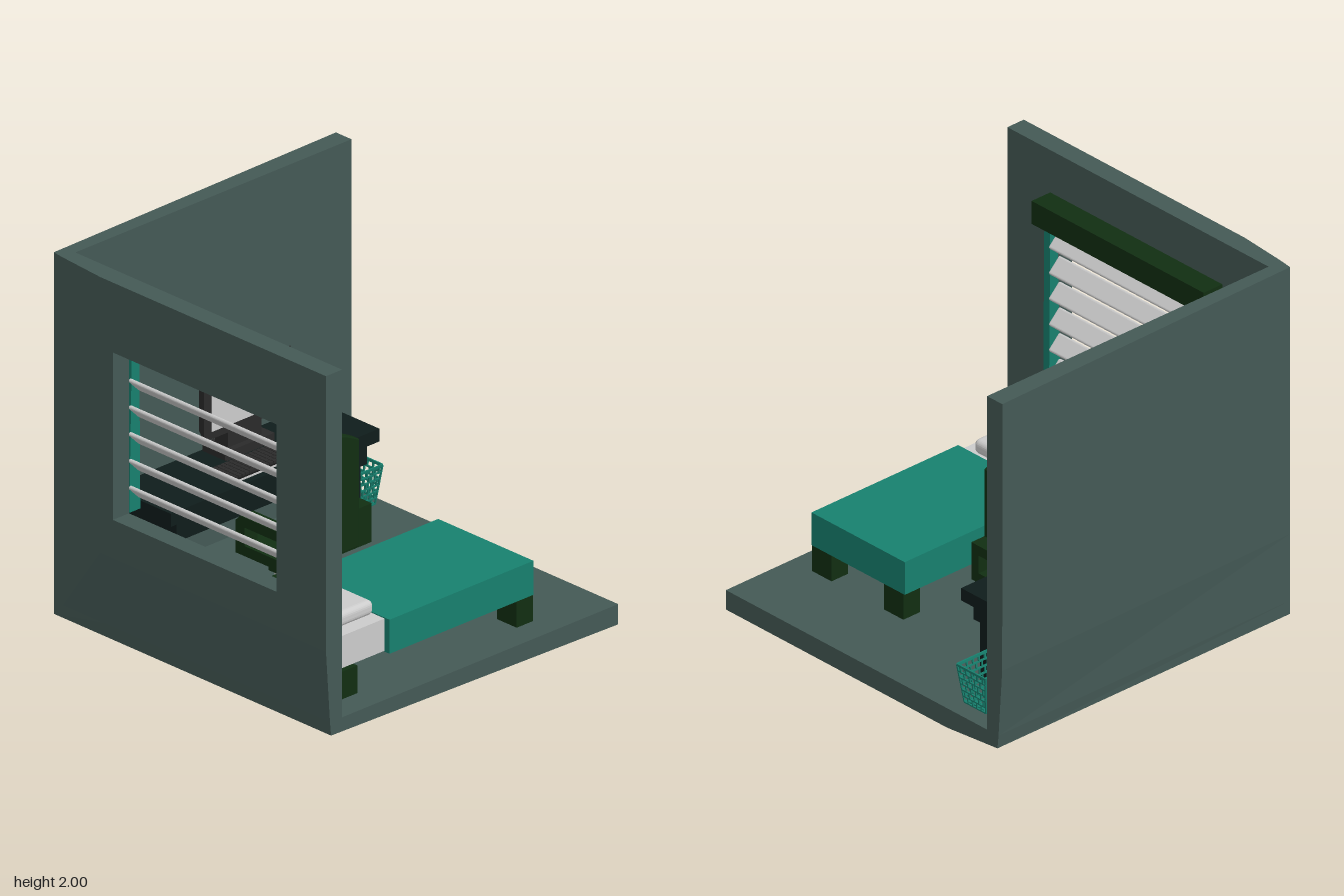
import * as THREE from 'three';
import { RoundedBoxGeometry } from 'three/addons/geometries/RoundedBoxGeometry.js';
import { mergeGeometries } from 'three/addons/utils/BufferGeometryUtils.js';

const mat = (color) => new THREE.MeshStandardMaterial({ color, flatShading: true });
const ROOM = mat(0x445955), TEAL = mat(0x17806e), GREEN = mat(0x112e12), DESK = mat(0x0f1c1b);
const GREY = mat(0xcccccc), BLACK = mat(0x2a2a2a), KEY = mat(0x1b1b1b);

// box geometry from its limits on each axis
function boxGeo([x0, x1], [y0, y1], [z0, z1], segs = [1, 1, 1]) {
  return new THREE.BoxGeometry(x1 - x0, y1 - y0, z1 - z0, ...segs)
    .translate((x0 + x1) / 2, (y0 + y1) / 2, (z0 + z1) / 2);
}
function add(parent, name, geo, material) {
  const mesh = new THREE.Mesh(geo, material);
  mesh.name = name;
  parent.add(mesh);
  return mesh;
}
function group(parent, name) {
  const g = new THREE.Group();
  g.name = name;
  parent.add(g);
  return g;
}
// move every vertex by a rule
function warp(geo, rule) {
  const p = geo.attributes.position, v = new THREE.Vector3();
  for (let i = 0; i < p.count; i++) {
    rule(v.fromBufferAttribute(p, i));
    p.setXYZ(i, v.x, v.y, v.z);
  }
  geo.computeVertexNormals();
  return geo;
}

// pull the three outer edges of the shell slightly inwards
function pullEdges(v) {
  const clamp = (t) => THREE.MathUtils.clamp(t, 0, 1);
  const tx = clamp((1 - v.x) / 2), ty = clamp((0.5 - v.y) / 0.5), tz = clamp((-0.6 - v.z) / 0.4);
  const left = v.x < -0.999, low = v.y < 0.001, back = v.z < -0.999;
  if (left) v.x += 0.035 * Math.max(ty, tz);
  if (low) v.y += 0.035 * Math.max(tx, tz);
  if (back) v.z += 0.035 * Math.max(tx, ty);
}

function buildRoom(root) {
  const room = group(root, 'room');
  add(room, 'floor', warp(boxGeo([-1, 1], [0, 0.11], [-1, 1], [1, 1, 5]), pullEdges), ROOM);
  add(room, 'backWall', warp(boxGeo([-1, 1], [0.11, 2], [-1, -0.89], [1, 5, 1]), pullEdges), ROOM);
  // side wall in cells, leaving the window cell open
  const zs = [-0.89, -0.6, -0.51, 0.65, 1], ys = [0.11, 0.5, 0.71, 1.62, 2], cells = [];
  for (let i = 0; i < 4; i++) for (let j = 0; j < 4; j++) {
    if (i === 2 && j === 2) continue;
    cells.push(warp(boxGeo([-1, -0.89], [ys[j], ys[j + 1]], [zs[i], zs[i + 1]]), pullEdges));
  }
  add(room, 'windowWall', mergeGeometries(cells), ROOM);
}

function buildWindow(root) {
  const win = group(root, 'window');
  add(win, 'valance', boxGeo([-0.89, -0.765], [1.63, 1.76], [-0.555, 0.69]), GREEN);
  for (const z of [-0.555, 0.612]) {
    const strip = warp(boxGeo([-0.885, -0.81], [0.71, 1.64], [z, z + 0.043]), (v) => {
      if (v.y > 1) v.x += v.x < -0.85 ? 0.018 : -0.008;
    });
    add(win, 'sideFrame', strip, TEAL);
  }
  for (let i = 0; i < 6; i++) {
    const slat = add(win, 'blindSlat', new RoundedBoxGeometry(0.105, 0.022, 1.135, 2, 0.01), GREY);
    slat.position.set(-0.848, 0.815 + i * 0.1455, 0.048);
    slat.rotation.z = -Math.PI / 4;
  }
}

function buildBed(root) {
  const bed = group(root, 'bed');
  add(bed, 'mattress', boxGeo([-0.765, -0.42], [0.26, 0.435], [0.21, 0.82]), GREY);
  add(bed, 'blanket', boxGeo([-0.425, 0.56], [0.255, 0.44], [0.18, 0.855]), TEAL);
  add(bed, 'pillow', new RoundedBoxGeometry(0.3, 0.08, 0.465, 3, 0.03).translate(-0.58, 0.475, 0.522), GREY);
  for (const x of [-0.75, 0.45]) for (const z of [0.19, 0.71])
    add(bed, 'bedLeg', boxGeo([x, x + 0.11], [0.11, 0.26], [z, z + 0.14]), GREEN);
}

function buildDesk(root) {
  const desk = group(root, 'desk');
  add(desk, 'deskTop', boxGeo([-0.65, 0.775], [0.575, 0.645], [-0.89, -0.46]), DESK);
  add(desk, 'deskApron', boxGeo([-0.585, 0.72], [0.46, 0.575], [-0.885, -0.49]), DESK);
  for (const x of [-0.585, 0.612]) for (const z of [-0.87, -0.59])
    add(desk, 'deskLeg', boxGeo([x, x + 0.082], [0.11, 0.47], [z, z + 0.082]), DESK);
}

function buildComputer(root) {
  const pc = group(root, 'computer');
  const shell = warp(boxGeo([-0.18, 0.41], [0.797, 1.13], [-0.82, -0.712]), (v) => {
    if (v.z > -0.8) return;
    v.x = 0.115 + (v.x - 0.115) * 0.77;
    v.y = v.y > 1 ? 1.1 : 0.803;
  });
  add(pc, 'monitorCase', shell, BLACK);
  add(pc, 'screen', boxGeo([-0.13, 0.362], [0.837, 1.09], [-0.72, -0.709]), GREY);
  add(pc, 'monitorNeck', boxGeo([0, 0.23], [0.69, 0.82], [-0.82, -0.73]), BLACK);
  add(pc, 'monitorBase', boxGeo([-0.055, 0.285], [0.662, 0.703], [-0.855, -0.695]), BLACK);
  add(pc, 'baseFoot', boxGeo([-0.03, 0.26], [0.645, 0.662], [-0.84, -0.71]), BLACK);

  // keyboard with a main block and a number block
  add(pc, 'keyboardEdge', boxGeo([-0.182, 0.4], [0.645, 0.655], [-0.67, -0.497]), GREY);
  add(pc, 'keyboardBody', boxGeo([-0.179, 0.397], [0.645, 0.662], [-0.667, -0.5]), KEY);
  const keys = [], pitch = 0.027;
  for (let row = 0; row < 6; row++) {
    const z = -0.662 + row * pitch;
    for (let col = 0; col < 21; col++) {
      if (col === 14 || col === 17) continue;
      if (row === 5 && col > 4 && col < 9) continue;
      const wide = row === 5 && col === 4 ? pitch * 4 : 0;
      const x = -0.174 + col * pitch;
      keys.push(boxGeo([x, x + 0.023 + wide], [0.66, 0.674], [z, z + 0.023]));
    }
  }
  add(pc, 'keys', mergeGeometries(keys), BLACK);

  add(pc, 'mouse', new RoundedBoxGeometry(0.08, 0.03, 0.13, 3, 0.014).translate(0.51, 0.659, -0.615), BLACK);
  add(pc, 'mouseWheel', boxGeo([0.503, 0.517], [0.66, 0.679], [-0.68, -0.655]), GREY);
  add(pc, 'mouseButton', boxGeo([0.503, 0.517], [0.66, 0.677], [-0.635, -0.615]), GREY);
}

function buildChair(root) {
  const chair = group(root, 'chair');
  const back = new THREE.Shape();
  back.moveTo(-0.17, 0.34);
  back.lineTo(0.21, 0.34);
  back.lineTo(0.21, 0.915);
  back.quadraticCurveTo(0.15, 0.95, 0.09, 0.968);
  back.lineTo(-0.05, 0.968);
  back.quadraticCurveTo(-0.11, 0.95, -0.17, 0.915);
  const backGeo = new THREE.ExtrudeGeometry(back, {
    depth: 0.04, bevelThickness: 0.008, bevelSize: 0.006, bevelSegments: 2, curveSegments: 4,
  });
  add(chair, 'chairBack', backGeo.translate(0, 0, -0.07), GREEN);
  add(chair, 'chairSeat', boxGeo([-0.175, 0.215], [0.33, 0.385], [-0.44, -0.025]), GREEN);

  // closed loop armrests, drawn in the side plane
  const arm = new THREE.Shape([[0.025, 0.33], [0.405, 0.33], [0.405, 0.505], [0.37, 0.54], [0.025, 0.54]]
    .map(([u, y]) => new THREE.Vector2(u, y)));
  arm.holes.push(new THREE.Path([[0.078, 0.385], [0.078, 0.485], [0.34, 0.485], [0.34, 0.385]]
    .map(([u, y]) => new THREE.Vector2(u, y))));
  const armGeo = new THREE.ExtrudeGeometry(arm, { depth: 0.088, bevelEnabled: false }).rotateY(Math.PI / 2);
  for (const x of [-0.263, 0.215]) add(chair, 'armrest', armGeo, GREEN).position.x = x;

  add(chair, 'chairColumn', new THREE.CylinderGeometry(0.03, 0.03, 0.15, 12).translate(0.018, 0.265, -0.243), GREEN);
  add(chair, 'baseArmAcross', boxGeo([-0.175, 0.205], [0.145, 0.205], [-0.275, -0.21]), GREEN);
  add(chair, 'baseArmAlong', boxGeo([-0.016, 0.05], [0.145, 0.205], [-0.425, -0.062]), GREEN);
  for (const [dx, dz] of [[1, 0], [-1, 0], [0, 1], [0, -1]])
    add(chair, 'caster', new THREE.CylinderGeometry(0.028, 0.018, 0.037, 8)
      .translate(0.018 + dx * 0.15, 0.1285, -0.243 + dz * 0.145), GREY);
}

function buildBasket(root) {
  const basket = group(root, 'wasteBasket');
  basket.position.set(0.84, 0, -0.715);
  const y0 = 0.13, y1 = 0.34, rows = 6, half = (y) => 0.077 + 0.026 * (y - y0) / (y1 - y0);
  const parts = [], bar = 0.004, step = (y1 - y0) / rows;
  // one side: level bars joined by staggered uprights, leaning outwards
  for (let r = 0; r <= rows; r++) {
    const y = y0 + r * step, t = r === rows ? 0.007 : bar;
    parts.push(boxGeo([-1, 1], [y - t, y + t], [-bar, bar]));
    if (r === rows) break;
    const count = 5;
    for (let c = 0; c <= count; c++) {
      const x = Math.min(1, -1 + (c + (r % 2) * 0.5) * 2 / count);
      parts.push(boxGeo([x - 0.045, x + 0.045], [y, y + step], [-bar, bar]));
    }
    parts.push(boxGeo([-1.03, -0.95], [y, y + step], [-bar, bar]));
  }
  const side = warp(mergeGeometries(parts), (v) => {
    const h = half(v.y);
    v.x *= h;
    v.z += h;
  });
  for (let i = 0; i < 4; i++) add(basket, 'basketSide', side, TEAL).rotation.y = i * Math.PI / 2;
  const floorBars = [];
  for (let i = 0; i < 5; i++) {
    const p = -0.06 + i * 0.03;
    floorBars.push(boxGeo([-0.077, 0.077], [0.126, 0.134], [p - 0.005, p + 0.005]));
    floorBars.push(boxGeo([p - 0.005, p + 0.005], [0.126, 0.134], [-0.077, 0.077]));
  }
  add(basket, 'basketBottom', mergeGeometries(floorBars), TEAL);
}

export function createModel() {
  const root = new THREE.Group();
  root.name = 'bedroom';
  for (const build of [buildRoom, buildWindow, buildBed, buildDesk, buildComputer, buildChair, buildBasket]) build(root);
  return root;
}
